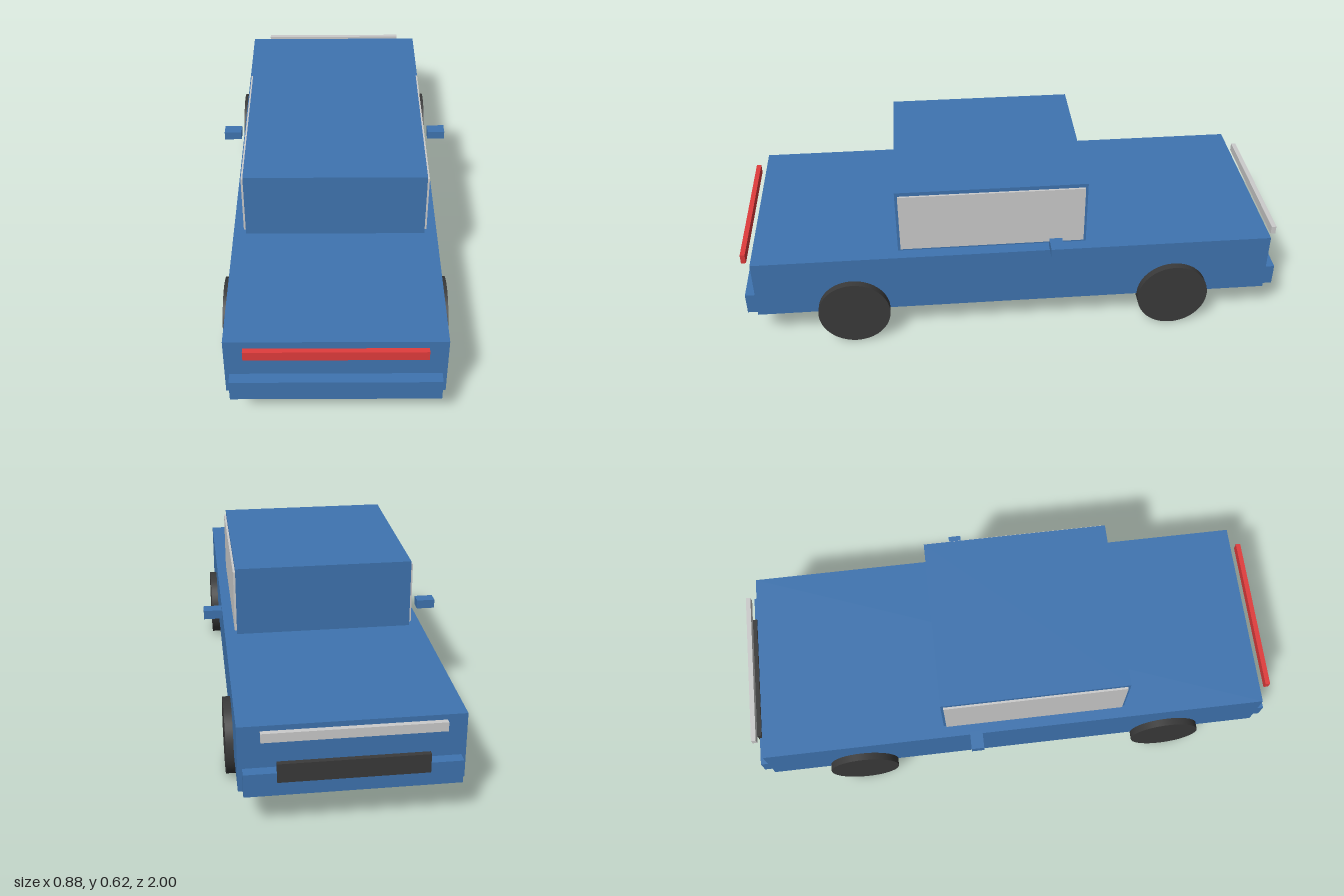
import * as THREE from 'three';

const paint = new THREE.MeshStandardMaterial({ color: 0x3f74b0 });
const rubber = new THREE.MeshStandardMaterial({ color: 0x3a3a3a });
const red = new THREE.MeshStandardMaterial({ color: 0xe03c3c });
const pale = new THREE.MeshStandardMaterial({ color: 0xd8d8d8 });

export function createModel() {
  const model = new THREE.Group();
  model.name = 'car';

  // Box given by its lower and upper limits on each axis
  function box(name, material, [x0, x1], [y0, y1], [z0, z1]) {
    const mesh = new THREE.Mesh(new THREE.BoxGeometry(x1 - x0, y1 - y0, z1 - z0), material);
    mesh.position.set((x0 + x1) / 2, (y0 + y1) / 2, (z0 + z1) / 2);
    mesh.name = name;
    model.add(mesh);
  }

  // Body and cabin
  box('body', paint, [-0.367, 0.367], [0.13, 0.362], [-0.957, 0.957]);
  box('cabin', paint, [-0.322, 0.322], [0.362, 0.617], [-0.268, 0.425]);

  // Bumpers, light bars and grille
  box('frontBumper', paint, [-0.352, 0.352], [0.132, 0.213], [0.957, 0.996]);
  box('rearBumper', paint, [-0.352, 0.352], [0.132, 0.213], [-0.996, -0.957]);
  box('frontLightBar', red, [-0.3, 0.3], [0.324, 0.36], [0.982, 1]);
  box('rearLightBar', pale, [-0.295, 0.295], [0.326, 0.358], [-1, -0.982]);
  box('rearGrille', rubber, [-0.245, 0.245], [0.18, 0.247], [-1, -0.982]);

  // Side windows, mirrors and wheels
  const wheelGeometry = new THREE.CylinderGeometry(0.133, 0.133, 0.104, 40).rotateZ(Math.PI / 2);
  for (const [side, s] of [['left', 1], ['right', -1]]) {
    const span = (a, b) => (s > 0 ? [a, b] : [-b, -a]);
    box(side + 'Window', pale, span(0.312, 0.33), [0.373, 0.602], [-0.258, 0.415]);
    box(side + 'Mirror', paint, span(0.372, 0.439), [0.386, 0.419], [-0.172, -0.125]);
    for (const [end, z] of [['Front', 0.6], ['Rear', -0.6]]) {
      const wheel = new THREE.Mesh(wheelGeometry, rubber);
      wheel.position.set(s * 0.342, 0.133, z);
      wheel.name = side + end + 'Wheel';
      model.add(wheel);
    }
  }
  return model;
}
